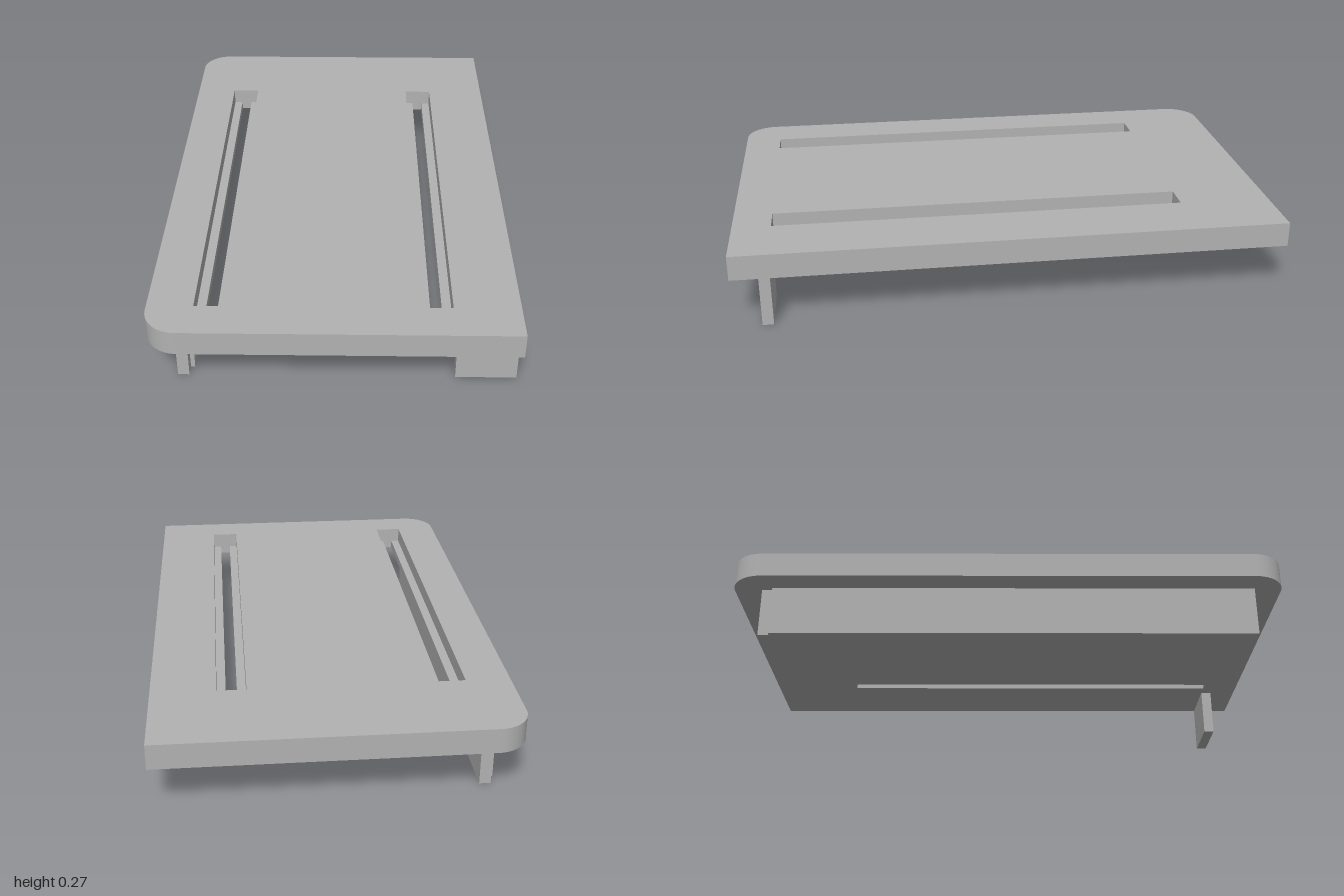
import * as THREE from 'three';
import { toCreasedNormals } from 'three/addons/utils/BufferGeometryUtils.js';

const W = 0.632, D = 1, R = 0.115;         // half width, half depth, corner radius
const LEG_H = 0.183, LEDGE_H = 0.215, TOP = 0.274;
const SLOT_Z = [-0.66, 0.86];
const SLOT_X = [-0.42, 0.35];

export function createModel() {
  const group = new THREE.Group();
  const grey = new THREE.MeshStandardMaterial({ color: 0xb2b2b2 });
  grey.name = 'grey';

  // Extrudes a plan outline (x, -z) upward between two heights
  const addSlab = (name, shape, y0, y1) => {
    const geo = new THREE.ExtrudeGeometry(shape, { depth: y1 - y0, bevelEnabled: false, curveSegments: 16 });
    geo.rotateX(-Math.PI / 2);
    geo.translate(0, y0, 0);
    const mesh = new THREE.Mesh(toCreasedNormals(geo, 0.6), grey);
    mesh.name = name;
    group.add(mesh);
  };
  const polygon = (points) => new THREE.Shape(points.map(([x, z]) => new THREE.Vector2(x, -z)));

  // Plate outline: rounded on the right, square on the left, with two slots
  const plateShape = (slotWidth) => {
    const s = new THREE.Shape();
    s.moveTo(W, -D);
    s.lineTo(W, D);
    s.lineTo(-W + R, D);
    s.absarc(-W + R, D - R, R, Math.PI / 2, Math.PI, false);
    s.lineTo(-W, -D + R);
    s.absarc(-W + R, -D + R, R, Math.PI, Math.PI * 1.5, false);
    s.closePath();
    const [z0, z1] = SLOT_Z, h = slotWidth / 2;
    for (const x of SLOT_X) {
      s.holes.push(polygon([[x - h, z0], [x + h, z0], [x + h, z1], [x - h, z1]]));
    }
    return s;
  };

  // Narrow slots below, wide recesses above
  addSlab('plateLedge', plateShape(0.04), LEG_H, LEDGE_H);
  addSlab('plateTop', plateShape(0.105), LEDGE_H, TOP);

  // Long support wall, stepped at both ends
  addSlab('supportWall', polygon([
    [-0.54, 0.9], [-0.5, 0.9], [-0.5, 0.86], [-0.485, 0.86],
    [-0.485, -0.9], [-0.525, -0.9], [-0.525, -0.86], [-0.54, -0.86],
  ]), 0, LEG_H);

  // Short leg at the front left corner
  addSlab('frontLeg', polygon([[0.42, 0.9], [W, 0.9], [W, 0.86], [0.42, 0.86]]), 0, LEG_H);

  return group;
}
